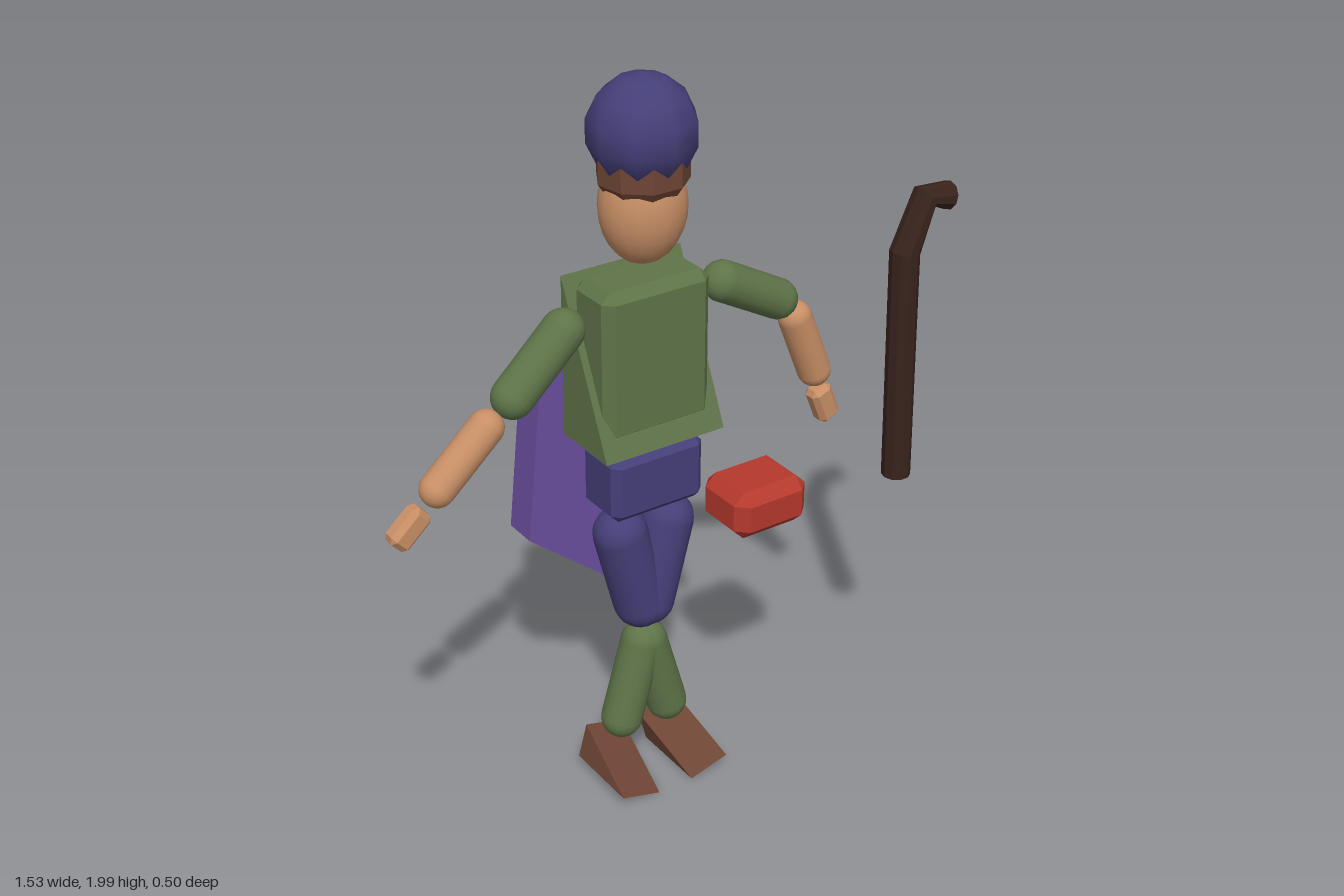
import * as THREE from 'three';
import { ConvexGeometry } from 'three/addons/geometries/ConvexGeometry.js';

const CX = -0.028; // the body's own centre line
const COLORS = {
  skin: 0xc88f66, green: 0x5f7449, indigo: 0x453f78, purple: 0x6a4f9f,
  brown: 0x6e4535, dark: 0x38231c, red: 0xb5392d,
};

export function createModel() {
  const model = new THREE.Group();
  model.name = 'figure';

  const add = (name, geometry, color, position = [0, 0, 0], rotationZ = 0) => {
    const mesh = new THREE.Mesh(geometry, new THREE.MeshStandardMaterial({ color: COLORS[color] }));
    mesh.name = name;
    mesh.position.set(...position);
    mesh.rotation.z = rotationZ;
    model.add(mesh);
    return mesh;
  };

  // Box with one flat bevel on every edge
  const bevelBox = (w, h, d, b) => {
    const points = [];
    for (const x of [-1, 1]) for (const y of [-1, 1]) for (const z of [-1, 1]) {
      for (const axis of [0, 1, 2]) {
        const inset = [b, b, b];
        inset[axis] = 0;
        points.push(new THREE.Vector3(
          x * (w / 2 - inset[0]), y * (h / 2 - inset[1]), z * (d / 2 - inset[2])));
      }
    }
    return new ConvexGeometry(points);
  };

  // Capsule between the centres of its two caps
  const limb = (name, color, r, [x1, y1], [x2, y2]) => {
    const length = Math.hypot(x2 - x1, y2 - y1);
    add(name, new THREE.CapsuleGeometry(r, length, 6, 16), color,
      [(x1 + x2) / 2, (y1 + y2) / 2, 0], Math.atan2(x1 - x2, y2 - y1));
  };

  // Flat outline extruded along z from z0
  const slab = (points, z0, depth) => {
    const shape = new THREE.Shape(points.map(([x, y]) => new THREE.Vector2(x, y)));
    return new THREE.ExtrudeGeometry(shape, { depth, bevelEnabled: false }).translate(0, 0, z0);
  };

  // Side outline (z, y) extruded across x, centred on x = 0
  const wedge = (points, width) =>
    slab(points.map(([z, y]) => [-z, y]), -width / 2, width).rotateY(Math.PI / 2);

  // Head, hair and hat
  const head = add('head', new THREE.SphereGeometry(1, 20, 14), 'skin', [CX, 1.67, 0]);
  head.scale.set(0.113, 0.15, 0.106);
  const hair = [[0, 1.71], [0.098, 1.71], [0.116, 1.738], [0.116, 1.8], [0, 1.8]];
  const hairMesh = add('hair', new THREE.LatheGeometry(
    hair.map(([r, y]) => new THREE.Vector2(r, y)), 9, Math.PI), 'brown', [CX, 0, 0]);
  hairMesh.material.flatShading = true;
  add('hat', new THREE.SphereGeometry(0.14, 9, 7).rotateY(Math.PI / 2), 'indigo', [CX, 1.86, 0]);

  // Torso: chest block with a wedge-shaped tunic, and hips
  add('chest', bevelBox(0.316, 0.41, 0.162, 0.026), 'green', [CX, 1.285, 0]);
  add('tunic', wedge([[0.104, 1.05], [-0.096, 1.05], [-0.096, 1.49]], 0.355), 'green', [CX, 0, 0]);
  add('hips', bevelBox(0.278, 0.184, 0.162, 0.022), 'indigo', [CX, 0.937, 0]);

  // Legs and wedge feet, mirrored about the centre line
  for (const [side, s] of [['left', 1], ['right', -1]]) {
    limb(side + 'Thigh', 'indigo', 0.073, [CX + s * 0.073, 0.768], [CX + s * 0.012, 0.535]);
    limb(side + 'Shin', 'green', 0.057, [CX + s * 0.007, 0.405], [CX + s * 0.073, 0.177]);
    add(side + 'Foot', wedge([[0.155, -0.05], [-0.07, -0.05], [-0.07, 0.05]], 0.121),
      'brown', [CX + s * 0.099, 0.071, 0], s * 0.262);
  }

  // Arms, each in its own pose
  const arms = [
    { side: 'right', upper: [[-0.26, 1.397], [-0.407, 1.257]],
      lower: [[-0.484, 1.198], [-0.624, 1.071]], hand: [-0.709, 0.992, 0] },
    { side: 'left', upper: [[0.214, 1.405], [0.389, 1.31]],
      lower: [[0.45, 1.241], [0.521, 1.066]], hand: [0.555, 0.96, 0] },
  ];
  for (const { side, upper, lower, hand } of arms) {
    limb(side + 'UpperArm', 'green', 0.055, ...upper);
    limb(side + 'Forearm', 'skin', 0.046, ...lower);
    const [[x1, y1], [x2, y2]] = lower;
    add(side + 'Hand', bevelBox(0.066, 0.112, 0.056, 0.014), 'skin', hand,
      Math.atan2(x1 - x2, y2 - y1));
  }

  // Cape: pointed panel behind the body
  const cape = [[-0.205, 1.222], [-0.255, 0.724], [0, 0.516], [0.255, 0.724], [0.205, 1.222]];
  add('cape', slab(cape, -0.253, 0.097), 'purple', [CX, 0, 0]);

  // Pouch beside the left hip
  add('pouch', bevelBox(0.23, 0.138, 0.19, 0.032), 'red', [0.253, 0.813, 0.108]);

  // Cane: mitred rings, each given by its two edge points in the xy plane
  const rings = [
    [[0.606, 0.807], [0.685, 0.807]], [[0.587, 1.468], [0.667, 1.452]],
    [[0.661, 1.627], [0.704, 1.569]], [[0.767, 1.622], [0.751, 1.548]],
  ];
  const sides = 10, position = [], index = [];
  for (const [[ax, ay], [bx, by]] of rings) {
    for (let i = 0; i < sides; i++) {
      const a = (i / sides) * Math.PI * 2, c = Math.cos(a) / 2;
      position.push((ax + bx) / 2 + (bx - ax) * c, (ay + by) / 2 + (by - ay) * c,
        0.214 + 0.039 * Math.sin(a));
    }
  }
  for (let r = 0; r < rings.length - 1; r++) {
    for (let i = 0; i < sides; i++) {
      const a = r * sides + i, b = r * sides + (i + 1) % sides;
      index.push(a, a + sides, b, b, a + sides, b + sides);
    }
  }
  const last = (rings.length - 1) * sides;
  for (let i = 1; i < sides - 1; i++) {
    index.push(0, i, i + 1, last, last + i + 1, last + i);
  }
  const caneGeometry = new THREE.BufferGeometry();
  caneGeometry.setAttribute('position', new THREE.Float32BufferAttribute(position, 3));
  caneGeometry.setIndex(index);
  caneGeometry.computeVertexNormals();
  const cane = add('cane', caneGeometry, 'dark');
  cane.material.flatShading = true;
  cane.material.side = THREE.DoubleSide;

  return model;
}
